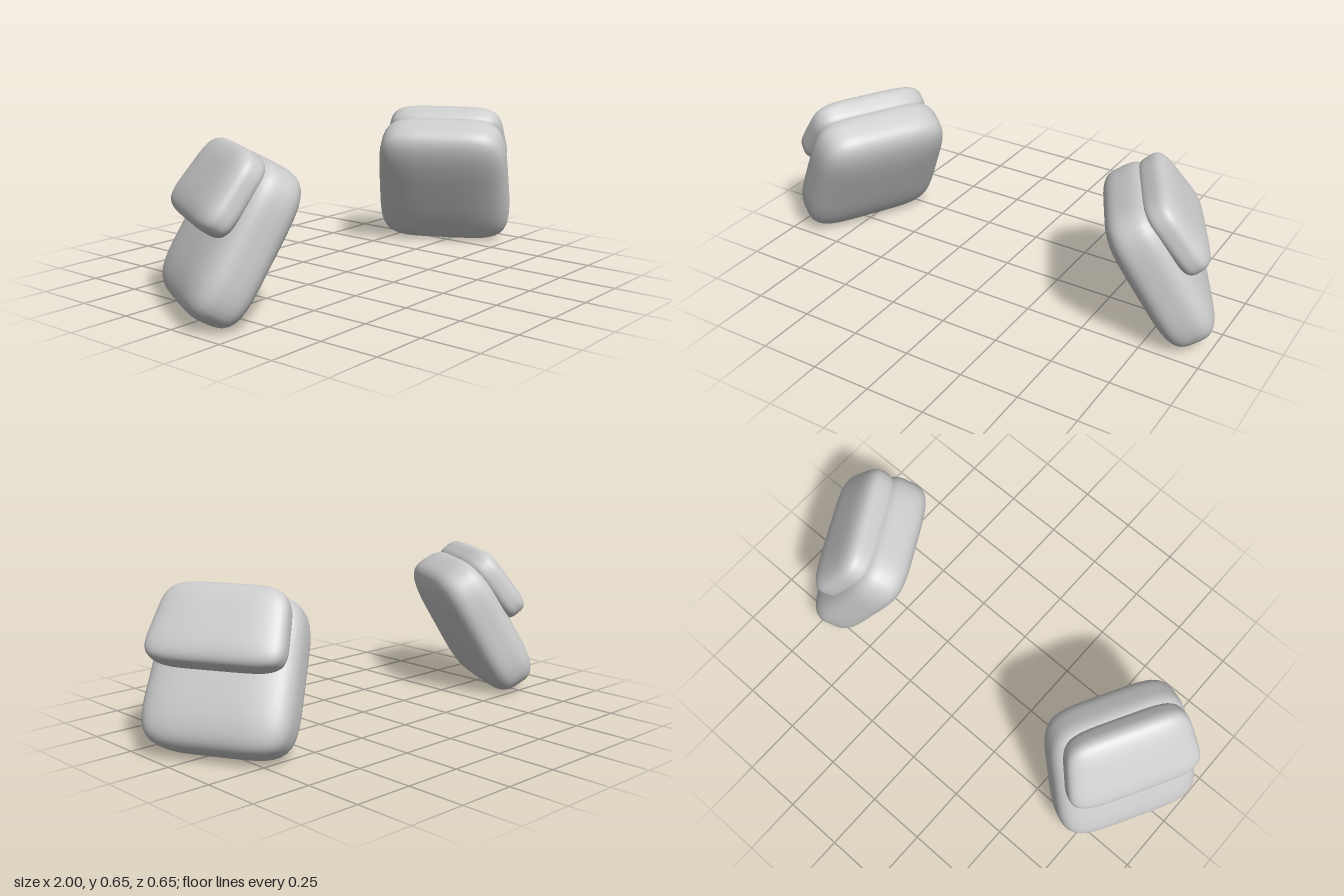
import * as THREE from 'three';
import { mergeVertices } from 'three/addons/utils/BufferGeometryUtils.js';

const material = new THREE.MeshStandardMaterial({ color: 0xcccccc });
const deg = THREE.MathUtils.degToRad;

// Domed slab: a subdivided cube pulled onto a superquadric, squarer in
// outline than in thickness, and shorter along its top edge.
function slabGeometry([halfThick, halfHeight, halfLength], taper) {
  const outline = 5, dome = 3.5;
  let geo = new THREE.BoxGeometry(2, 2, 2, 16, 16, 16);
  geo.deleteAttribute('uv');
  geo.deleteAttribute('normal');
  geo = mergeVertices(geo);
  const pos = geo.attributes.position;
  const p = new THREE.Vector3();
  for (let i = 0; i < pos.count; i++) {
    p.fromBufferAttribute(pos, i);
    const flat = Math.abs(p.y) ** outline + Math.abs(p.z) ** outline;
    const sum = Math.abs(p.x) ** dome + flat ** (dome / outline);
    p.multiplyScalar(sum ** (-1 / dome));
    pos.setXYZ(i, p.x * halfThick, p.y * halfHeight, p.z * halfLength * (1 - taper * p.y));
  }
  geo.computeVertexNormals();
  return geo;
}

// Plates of one shoulder: half sizes, top taper, centre and inward lean.
const plates = [
  { name: 'LowerPlate', half: [0.127, 0.318, 0.3], taper: 0.05, at: [0.703, 0.301, 0.01], lean: 30 },
  { name: 'UpperPlate', half: [0.075, 0.169, 0.272], taper: 0.08, at: [0.744, 0.494, -0.007], lean: 37 },
];

export function createModel() {
  const model = new THREE.Group();
  model.name = 'shoulderPads';
  for (const side of [1, -1]) {
    const label = side > 0 ? 'left' : 'right';
    const pad = new THREE.Group();
    pad.name = label + 'ShoulderPad';
    for (const { name, half, taper, at, lean } of plates) {
      const plate = new THREE.Mesh(slabGeometry(half, taper), material);
      plate.name = label + name;
      plate.position.set(side * at[0], at[1], at[2]);
      // lean inward, then turn the outer face towards the back
      plate.rotation.set(0, side * deg(28.5), side * deg(lean), 'YXZ');
      pad.add(plate);
    }
    model.add(pad);
  }
  return model;
}
